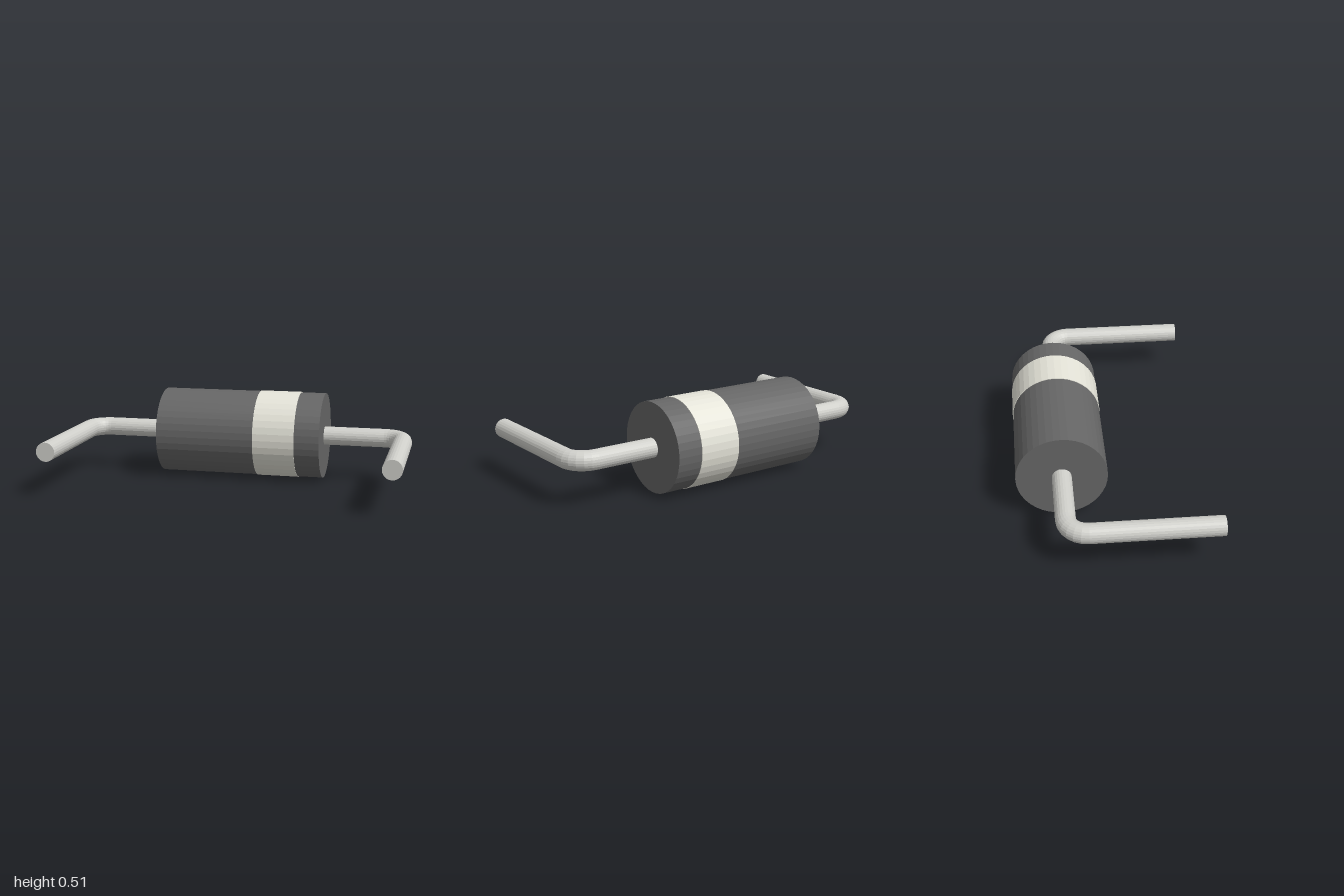
import * as THREE from 'three';
import { mergeGeometries } from 'three/addons/utils/BufferGeometryUtils.js';

const AXIS_Y = 0.253, AXIS_Z = -0.28;   // centre line of the body
const WIRE = 0.054, BEND = 0.112;       // wire radius, bend radius
const LEAD_X = 0.946, TIP_Z = 0.53;     // leg centre line and tip

const material = (color) => new THREE.MeshStandardMaterial({ color, flatShading: true });

// Cylinder lying along x between two positions
function barrel(name, x0, x1, radius, mat) {
  const geometry = new THREE.CylinderGeometry(radius, radius, x1 - x0, 40);
  geometry.rotateZ(Math.PI / 2).translate((x0 + x1) / 2, 0, AXIS_Z);
  const mesh = new THREE.Mesh(geometry, mat);
  mesh.name = name;
  return mesh;
}

// Wire: straight out of the body, quarter bend, straight leg to the front
function leadGeometry() {
  const cornerX = LEAD_X - BEND, cornerZ = AXIS_Z + BEND, startX = 0.46;
  const stub = new THREE.CylinderGeometry(WIRE, WIRE, cornerX - startX, 24, 1, true)
    .rotateZ(Math.PI / 2).translate((cornerX + startX) / 2, 0, AXIS_Z);
  const bend = new THREE.TorusGeometry(BEND, WIRE, 24, 6, Math.PI / 2)
    .rotateX(-Math.PI / 2).translate(cornerX, 0, cornerZ);
  const leg = new THREE.CylinderGeometry(WIRE, WIRE, TIP_Z - cornerZ, 24)
    .rotateX(Math.PI / 2).translate(LEAD_X, 0, (TIP_Z + cornerZ) / 2);
  return mergeGeometries([stub, bend, leg]);
}

export function createModel() {
  const model = new THREE.Group();
  model.name = 'diode';
  model.position.y = AXIS_Y;

  // Dark body with a slightly raised pale polarity band
  model.add(barrel('body', -0.485, 0.482, 0.25, material(0x666666)));
  model.add(barrel('polarityBand', 0.094, 0.337, 0.253, material(0xe4e3d8)));

  // Two identical leads, the right one turned half round the z axis
  const geometry = leadGeometry(), metal = material(0xcfcfca);
  for (const [name, turn] of [['leftLead', 0], ['rightLead', Math.PI]]) {
    const lead = new THREE.Mesh(geometry, metal);
    lead.name = name;
    lead.rotation.z = turn;
    model.add(lead);
  }

  const root = new THREE.Group();
  root.add(model);
  return root;
}
